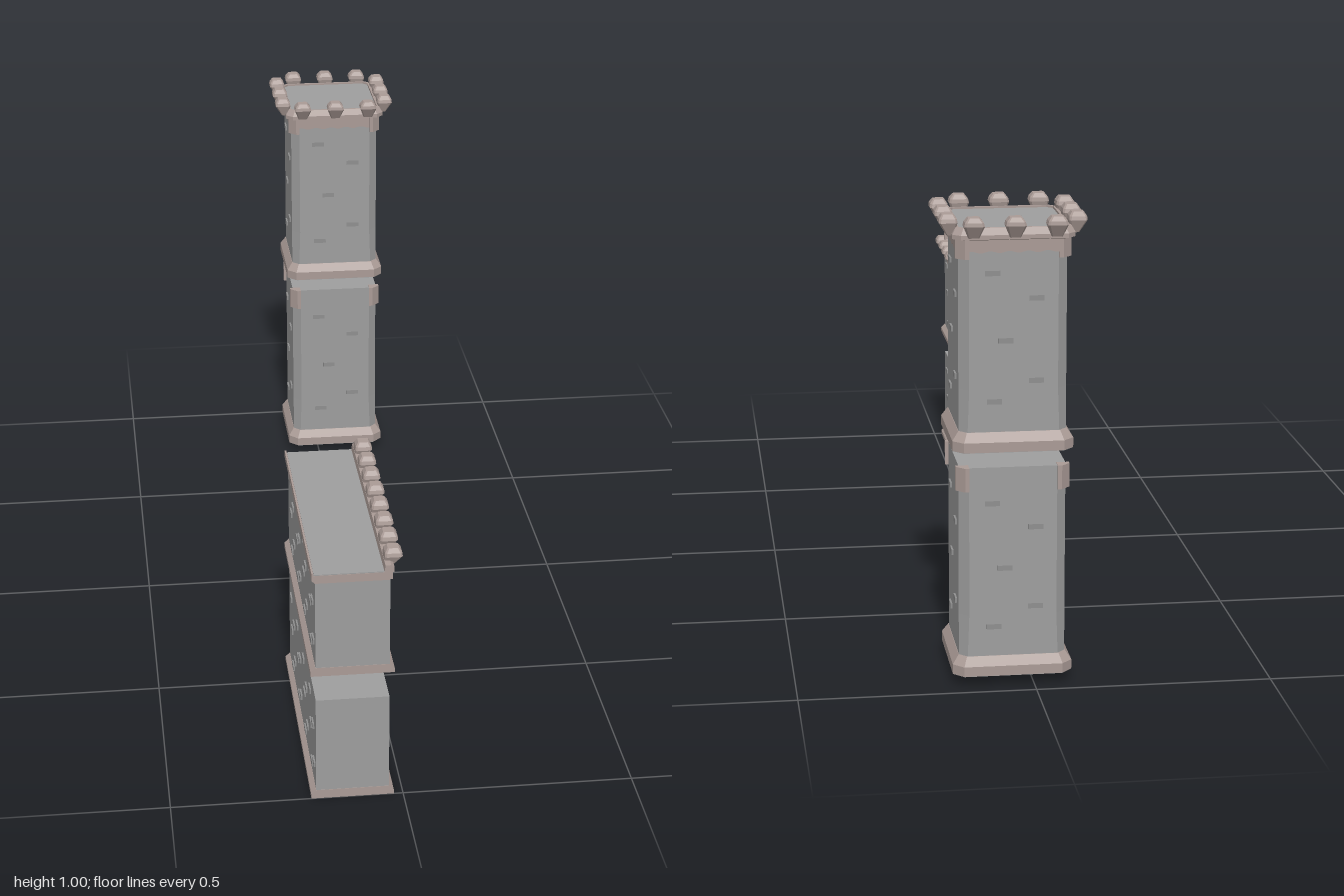
import * as THREE from 'three';

const stone = new THREE.MeshStandardMaterial({ color: 0x9e9e9e, flatShading: true });
const trim = new THREE.MeshStandardMaterial({ color: 0xaa9b96, flatShading: true });
const brick = new THREE.MeshStandardMaterial({ color: 0x8f8f8f, flatShading: true });

function add(parent, name, geometry, material, x = 0, y = 0, z = 0) {
  const mesh = new THREE.Mesh(geometry, material);
  mesh.name = name;
  mesh.position.set(x, y, z);
  parent.add(mesh);
  return mesh;
}

function group(parent, name, x = 0, y = 0, z = 0, turn = 0) {
  const g = new THREE.Group();
  g.name = name;
  g.position.set(x, y, z);
  g.rotation.y = turn;
  parent.add(g);
  return g;
}

// Stacked rectangles with cut corners; each ring is [y, halfX, halfZ, corner, shiftZ]
function loft(rings) {
  const pos = [];
  const loops = rings.map(([y, a, b, c, s = 0]) => [
    [a, b - c], [a, c - b], [a - c, -b], [c - a, -b],
    [-a, c - b], [-a, b - c], [c - a, b], [a - c, b],
  ].map(([x, z]) => [x, y, z + s]));
  for (let r = 0; r + 1 < loops.length; r++) {
    for (let i = 0; i < 8; i++) {
      const j = (i + 1) % 8, lo = loops[r], hi = loops[r + 1];
      pos.push(...lo[i], ...lo[j], ...hi[j], ...lo[i], ...hi[j], ...hi[i]);
    }
  }
  const first = loops[0], last = loops[loops.length - 1];
  for (let i = 1; i < 7; i++) {
    pos.push(...last[0], ...last[i], ...last[i + 1], ...first[0], ...first[i + 1], ...first[i]);
  }
  const g = new THREE.BufferGeometry();
  g.setAttribute('position', new THREE.Float32BufferAttribute(pos, 3));
  g.computeVertexNormals();
  return g;
}

const square = (...rings) => loft(rings.map(([y, h, c]) => [y, h, h, c]));

function extrude(points, depth) {
  const shape = new THREE.Shape(points.map(([x, y]) => new THREE.Vector2(x, y)));
  return new THREE.ExtrudeGeometry(shape, { depth, bevelEnabled: false });
}

// Strip facing +z with a rippled lower edge
function wavyStrip(half, height, depth, waves) {
  const points = [[half, height], [-half, height]];
  const n = waves * 6;
  for (let i = 0; i <= n; i++) {
    points.push([-half + (2 * half * i) / n, 0.002 * Math.sin((i / 6) * Math.PI * 2)]);
  }
  return extrude(points, depth);
}

// Faceted merlon, flaring from a narrow foot; lean shifts the foot towards the wall
const merlon = (lean) => loft([
  [-0.022, 0.011, 0.008, 0.002, -lean],
  [0.004, 0.021, 0.019, 0.004],
  [0.012, 0.019, 0.018, 0.004],
  [0.021, 0.012, 0.012, 0.003],
]);

const brickShape = new THREE.BoxGeometry(0.031, 0.011, 0.012);
const towerBricks = [[-0.044, 0.375], [0.047, 0.322], [-0.017, 0.234], [0.047, 0.149], [-0.04, 0.106]];

function towerSection(parent, name, y, bodyTop, capBottom, capTop) {
  const g = group(parent, name, 0, y, 0);
  add(g, 'towerBody', square([0.02, 0.112, 0.016], [0.13, 0.112, 0.02], [bodyTop, 0.112, 0.02]), stone);
  add(g, 'towerUnderside', square([0, 0.125, 0.022], [0.002, 0.125, 0.022]), stone);
  add(g, 'towerFoot', square([0.001, 0.126, 0.022], [0.022, 0.126, 0.022], [0.041, 0.113, 0.016]), trim);
  for (let k = 0; k < 4; k++) {
    const side = group(g, 'towerSide', 0, 0, 0, (k * Math.PI) / 2);
    for (const [u, v] of towerBricks) add(side, 'brick', brickShape, brick, u, v, 0.11);
    // corner cap wrapped around the cut corner
    const cap = extrude([[0.092, 0.092], [0.119, 0.092], [0.119, 0.101], [0.101, 0.119], [0.092, 0.119]],
      capTop - capBottom);
    cap.rotateX(-Math.PI / 2);
    add(side, 'cornerCap', cap, trim, 0, capBottom, 0);
  }
  return g;
}

function buildTower(parent) {
  const tower = group(parent, 'tower', 0.045, 0, -0.846);
  towerSection(tower, 'lowerTower', 0.023, 0.452, 0.402, 0.453);
  const upper = towerSection(tower, 'upperTower', 0.51, 0.448, 0.405, 0.446);
  add(upper, 'parapet', square([0.444, 0.116, 0.014], [0.447, 0.126, 0.016], [0.456, 0.126, 0.016],
    [0.47, 0.118, 0.014], [0.47, 0.112, 0.012], [0.464, 0.112, 0.012]), trim);
  add(upper, 'towerRoof', square([0.457, 0.1115, 0.012], [0.466, 0.1115, 0.012]), stone);
  const gem = merlon(0.005);
  for (let k = 0; k < 4; k++) {
    const side = group(upper, 'crownSide', 0, 0, 0, (k * Math.PI) / 2);
    add(side, 'scallopedBand', wavyStrip(0.098, 0.028, 0.016, 5), trim, 0, 0.419, 0.1);
    for (const u of [-0.085, 0, 0.085]) add(side, 'merlon', gem, trim, u, 0.474, 0.133);
  }
}

// Staggered rows of small projecting bricks along a long wall face
function wallBricks(parent) {
  const rows = [0.2, 0.157, 0.128, 0.075, 0.045];
  rows.forEach((v, r) => {
    for (let i = 0; i < 4; i++) {
      const u = -0.235 + i * 0.14 + ((r * 3) % 5) * 0.021;
      add(parent, 'brick', brickShape, brick, u, v + 0.006 * ((i + r) % 2), 0.076);
    }
  });
}

function wallSection(parent, name, y, height) {
  const g = group(parent, name, 0, y, 0);
  add(g, 'wallBody', new THREE.BoxGeometry(0.157, height, 0.594), stone, 0, height / 2 + 0.001, 0);
  add(g, 'wallFoot', extrude([[-0.089, 0], [0.089, 0], [0.089, 0.01], [0.079, 0.02], [-0.079, 0.02],
    [-0.089, 0.01]], 0.596), trim, 0, 0, -0.298);
  for (const s of [-1, 1]) wallBricks(group(g, 'wallFace', 0, 0, 0, (s * Math.PI) / 2));
  return g;
}

function buildWall(parent) {
  const wall = group(parent, 'wall', -0.109, 0, 0.702);
  wallSection(wall, 'lowerWall', 0, 0.24);
  const upper = wallSection(wall, 'upperWall', 0.3, 0.225);
  // cornice with a low lip on the left and a taller parapet on the right
  add(upper, 'cornice', extrude([[-0.079, 0.22], [0.077, 0.22], [0.077, 0.236], [0.087, 0.238], [0.087, 0.249],
    [0.08, 0.254], [0.068, 0.254], [0.066, 0.238], [-0.081, 0.238], [-0.082, 0.244], [-0.086, 0.244],
    [-0.086, 0.227]], 0.596), trim, 0, 0, -0.298);
  add(upper, 'wallRoof', new THREE.BoxGeometry(0.147, 0.004, 0.594), stone, -0.0075, 0.238, 0);
  const front = group(upper, 'battlement', 0, 0, 0, Math.PI / 2);
  add(front, 'scallopedBand', wavyStrip(0.298, 0.022, 0.014, 12), trim, 0, 0.222, 0.07);
  const gem = merlon(0.012);
  for (let i = 0; i < 8; i++) add(front, 'merlon', gem, trim, (i - 3.5) * 0.074, 0.258, 0.088);
}

export function createModel() {
  const model = new THREE.Group();
  model.name = 'towerAndWall';
  buildTower(model);
  buildWall(model);
  return model;
}
